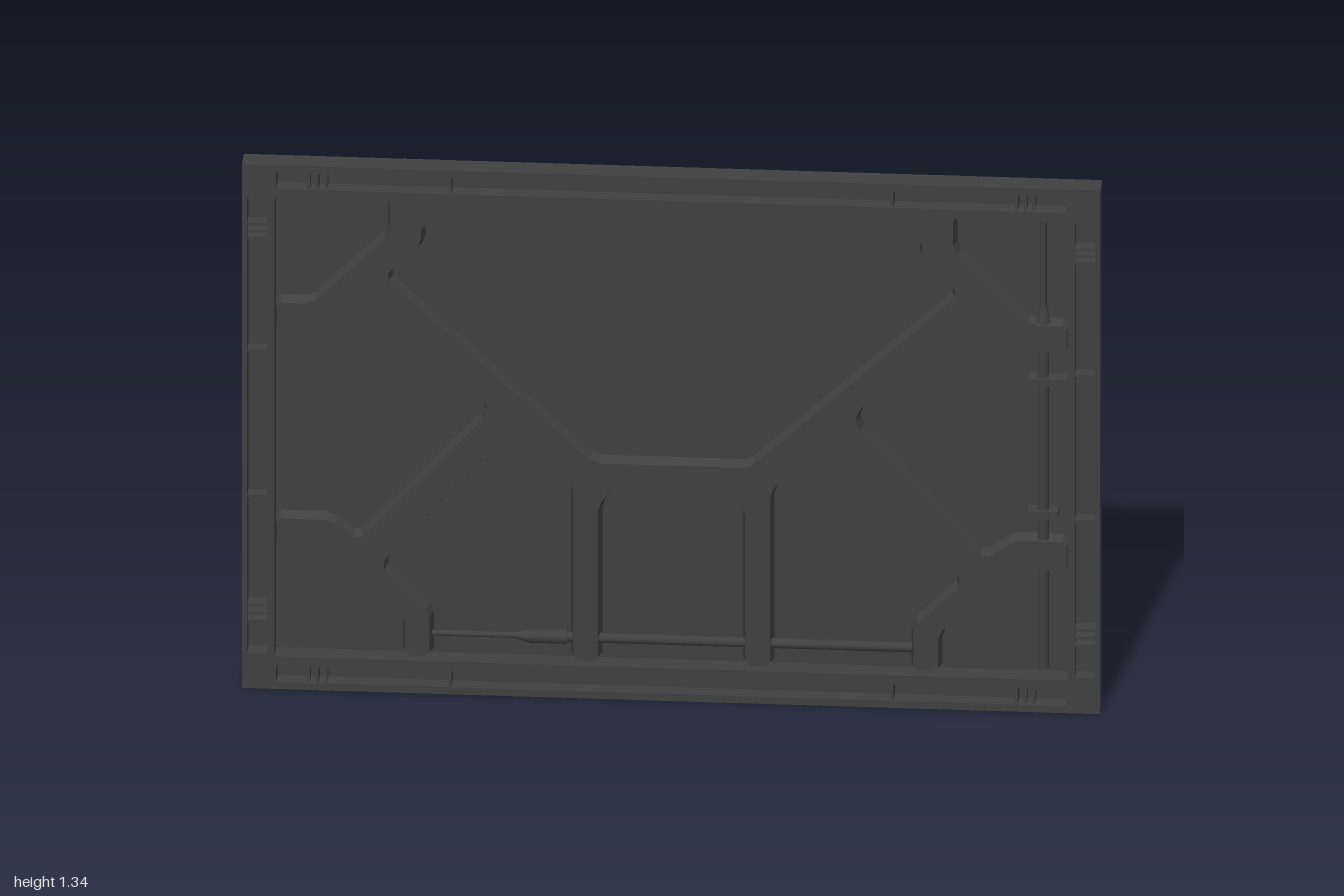
import * as THREE from 'three';

const W = 1, H = 1.335;                              // half width, height
const INNER = { x: 0.924, y0: 0.083, y1: 1.252 };    // opening in the frame

const darkGrey = new THREE.MeshStandardMaterial({ color: 0x404040 });
darkGrey.name = 'darkGrey';

function rect(path, x0, y0, x1, y1) {
  path.moveTo(x0, y0);
  path.lineTo(x1, y0);
  path.lineTo(x1, y1);
  path.lineTo(x0, y1);
  path.closePath();
  return path;
}

// Rectangular plate with rectangular openings, from z0 to z1
function plate(outer, holes, z0, z1) {
  const shape = rect(new THREE.Shape(), ...outer);
  holes.forEach(h => shape.holes.push(rect(new THREE.Path(), ...h)));
  const geo = new THREE.ExtrudeGeometry(shape, { depth: z1 - z0, bevelEnabled: false });
  return geo.translate(0, 0, z0);
}

// Replaces each corner with a short chamfer of length c
function soften(points, c) {
  const out = [];
  points.forEach((p, i) => {
    const prev = points[(i + points.length - 1) % points.length];
    const next = points[(i + 1) % points.length];
    for (const q of [prev, next]) {
      const d = q.clone().sub(p);
      out.push(p.clone().addScaledVector(d.normalize(), Math.min(c, q.distanceTo(p) * 0.3)));
    }
  });
  return out;
}

// Left half of a contour, mirrored to a closed symmetric one
function mirrored(half) {
  const left = half.map(([x, y]) => new THREE.Vector2(x, y));
  const right = left.map(p => new THREE.Vector2(-p.x, p.y)).reverse();
  return soften([...left, ...right], 0.013);
}

function ribGeometry() {
  const { x, y0, y1 } = INNER;
  const outline = mirrored([
    [-0.66, y1], [-0.66, 1.16], [-0.84, 0.98], [-x, 0.98],
    [-x, 0.905], [-0.805, 0.905], [-0.71, 0.995], [-0.435, 0.74], [-0.435, 0.705],
    [-0.73, 0.38], [-0.795, 0.43], [-x, 0.43],
    [-x, 0.35], [-0.79, 0.35], [-0.625, 0.18], [-0.625, y0],
    [-0.56, y0], [-0.56, 0.2], [-0.675, 0.315], [-0.38, 0.66], [-0.335, 0.64],
    [-0.233, 0.53], [-0.233, y0], [-0.168, y0], [-0.168, 0.48], [-0.13, 0.53],
  ]);
  const shape = new THREE.Shape(outline);
  shape.holes.push(new THREE.Path(mirrored([
    [-0.58, 1.185], [-0.58, 1.135], [-0.665, 1.05], [-0.18, 0.595],
  ])));
  const geo = new THREE.ExtrudeGeometry(shape, {
    depth: 0.001, bevelThickness: 0.033, bevelSize: 0.008, bevelOffset: -0.004, bevelSegments: 1,
  });
  // Flatten the rear bevel so the ribs taper only toward the front
  const pos = geo.attributes.position;
  for (let i = 0; i < pos.count; i++) if (pos.getZ(i) < 0) pos.setZ(i, 0);
  geo.computeVertexNormals();
  return geo.translate(0, 0, -0.024);
}

export function createModel() {
  const model = new THREE.Group();
  const add = (parent, name, geo) => {
    const mesh = new THREE.Mesh(geo, darkGrey);
    mesh.name = name;
    parent.add(mesh);
    return mesh;
  };
  const group = name => {
    const g = new THREE.Group();
    g.name = name;
    model.add(g);
    return g;
  };

  // Frame: slotted front plate, thin outer wall and inner wall, open at the back
  const opening = [-INNER.x, INNER.y0, INNER.x, INNER.y1];
  const slots = [
    [-0.92, 1.275, 0.92, 1.317], [-0.92, 0.018, 0.92, 0.06],
    [-0.988, 0.09, -0.941, 1.25], [0.941, 0.09, 0.988, 1.25],
  ];
  const frame = group('frame');
  add(frame, 'frontPlate', plate([-W, 0, W, H], [opening, ...slots], 0.02, 0.03));
  add(frame, 'outerWall', plate([-W, 0, W, H], [[-0.991, 0.009, 0.991, H - 0.009]], -0.03, 0.02));
  add(frame, 'innerWall', plate([-0.934, 0.073, 0.934, 1.262], [opening], -0.03, 0.02));

  // Troughs behind the slots, with cross dividers
  const troughs = group('troughs');
  const acrossX = [0.845, 0.825, 0.805, 0.515].flatMap(x => [-x, x]);
  const acrossY = [1.18, 1.163, 1.146, 0.857, 0.487, 0.21, 0.19, 0.17];
  slots.forEach(([x0, y0, x1, y1], i) => {
    const t = 0.006;
    add(troughs, 'troughWall',
      plate([x0 - t, y0 - t, x1 + t, y1 + t], [[x0, y0, x1, y1]], -0.016, 0.02));
    add(troughs, 'troughFloor', plate([x0, y0, x1, y1], [], -0.016, -0.01));
    const horizontal = i < 2;
    for (const p of horizontal ? acrossX : acrossY) {
      const box = horizontal
        ? new THREE.BoxGeometry(0.007, y1 - y0, 0.034)
        : new THREE.BoxGeometry(x1 - x0, 0.007, 0.034);
      add(troughs, 'divider', box).position.set(
        horizontal ? p : (x0 + x1) / 2, horizontal ? (y0 + y1) / 2 : p, 0.007);
    }
  });

  // Door skin and raised stiffening ribs
  add(model, 'backPanel', plate(opening, [], -0.029, -0.023));
  add(model, 'ribs', ribGeometry());

  // Tubes lying in the pockets
  const tube = (parent, name, r0, r1, from, to, axis, other) => {
    const geo = new THREE.CylinderGeometry(r1, r0, to - from, 12);
    const mesh = add(parent, name, geo);
    const mid = (from + to) / 2;
    if (axis === 'x') mesh.rotation.z = -Math.PI / 2;
    mesh.position.set(axis === 'x' ? mid : other, axis === 'x' ? other : mid, -0.006);
  };

  const cable = group('lowerTube');
  tube(cable, 'thinRod', 0.007, 0.007, -0.56, -0.36, 'x', 0.14);
  tube(cable, 'taper', 0.007, 0.016, -0.365, -0.335, 'x', 0.14);
  tube(cable, 'sleeve', 0.017, 0.017, -0.335, -0.245, 'x', 0.14);
  tube(cable, 'longTube', 0.012, 0.012, -0.245, 0.56, 'x', 0.14);

  const rod = group('sideRod');
  tube(rod, 'upperRod', 0.008, 0.008, 1.0, 1.25, 'y', 0.865);
  tube(rod, 'collar', 0.016, 0.01, 0.98, 1.02, 'y', 0.865);
  tube(rod, 'lowerRod', 0.013, 0.013, 0.1, 0.98, 'y', 0.865);
  for (const [y, x0, x1] of [[0.832, 0.83, INNER.x], [0.495, 0.83, 0.9]]) {
    add(rod, 'bracket', new THREE.BoxGeometry(x1 - x0, 0.018, 0.036))
      .position.set((x0 + x1) / 2, y, -0.006);
  }
  return model;
}
